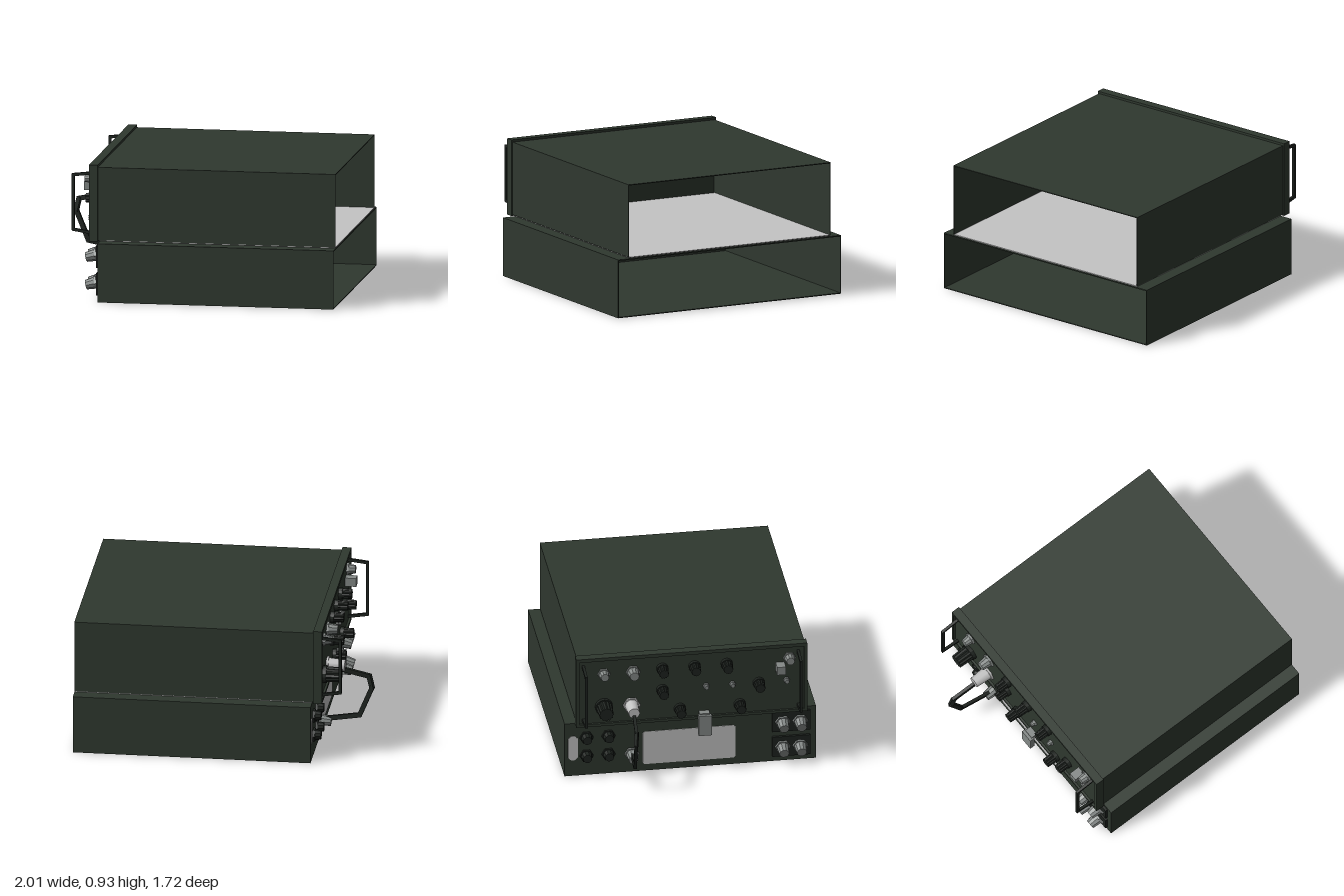
import * as THREE from 'three';

const material = (name, color, opts = {}) => {
  const m = new THREE.MeshStandardMaterial({ color, ...opts });
  m.name = name;
  return m;
};

export function createModel() {
  const root = new THREE.Group();
  root.name = 'stackedRadioUnits';
  const green = material('dark olive paint', 0x2f382f);
  const black = material('black fittings', 0x1e231f, { flatShading: true });
  const grey = material('grey metal', 0x858a88, { flatShading: true });
  const light = material('light plate', 0xc4c4c4);

  const add = (name, geometry, mat, parent = root) => {
    const mesh = new THREE.Mesh(geometry, mat);
    mesh.name = name;
    parent.add(mesh);
    return mesh;
  };
  // Box given by its lower and upper corners
  const box = (name, x0, x1, y0, y1, z0, z1, mat) => {
    const mesh = add(name, new THREE.BoxGeometry(x1 - x0, y1 - y0, z1 - z0), mat);
    mesh.position.set((x0 + x1) / 2, (y0 + y1) / 2, (z0 + z1) / 2);
    return mesh;
  };
  // Group whose own up axis points out of the control panel (-x)
  const mount = (name, x, y, z, tilt = 0) => {
    const g = new THREE.Group();
    g.name = name;
    g.position.set(x, y, z);
    g.rotation.z = Math.PI / 2 + tilt;
    root.add(g);
    return g;
  };
  const stage = (g, name, rTop, rBottom, from, to, sides, mat) => {
    const mesh = add(name, new THREE.CylinderGeometry(rTop, rBottom, to - from, sides), mat, g);
    mesh.position.y = (from + to) / 2;
    return mesh;
  };

  // Lower case, open at +x
  const t = 0.006;
  box('lowerBottom', -0.62, 1, 0, t, -0.86, 0.86, green);
  box('lowerTop', -0.62, 1, 0.395, 0.403, -0.86, 0.86, green);
  box('lowerPanel', -0.62, -0.612, 0, 0.403, -0.86, 0.86, green);
  // Upper case, open at +x, with a light floor
  box('upperTop', -0.63, 1, 0.908, 0.914, -0.78, 0.78, green);
  box('upperFloor', -0.62, 1, 0.407, 0.413, -0.775, 0.775, light);
  for (const s of [-1, 1]) {
    const side = (a, b) => [Math.min(s * a, s * b), Math.max(s * a, s * b)];
    box('lowerSide', -0.62, 1, 0, 0.403, ...side(0.86 - t, 0.86), green);
    box('upperSide', -0.63, 1, 0.413, 0.914, ...side(0.78 - t, 0.78), green);
  }
  // Upper control panel with a raised rim
  box('upperPanel', -0.675, -0.63, 0.405, 0.93, -0.79, 0.79, green);
  box('rimTop', -0.69, -0.675, 0.905, 0.93, -0.79, 0.79, green);
  box('rimBottom', -0.69, -0.675, 0.405, 0.425, -0.79, 0.79, green);
  box('rimEnd', -0.69, -0.675, 0.425, 0.905, -0.79, -0.77, green);
  box('rimEnd', -0.69, -0.675, 0.425, 0.905, 0.77, 0.79, green);

  // Rounded light plates lying in the panels
  const plate = (name, x, y0, y1, z0, z1, r, thick) => {
    const w = (z1 - z0) / 2, h = (y1 - y0) / 2;
    const s = new THREE.Shape();
    s.moveTo(-w + r, -h).lineTo(w - r, -h).lineTo(w, -h + r).lineTo(w, h - r);
    s.lineTo(w - r, h).lineTo(-w + r, h).lineTo(-w, h - r).lineTo(-w, -h + r).closePath();
    const g = new THREE.ExtrudeGeometry(s, { depth: thick, bevelEnabled: false });
    g.translate(0, 0, -thick / 2).rotateY(-Math.PI / 2);
    add(name, g, light).position.set(x, (y0 + y1) / 2, (z0 + z1) / 2);
  };
  for (const x of [-0.621, -0.611]) {
    plate('dataPlate', x, 0.05, 0.3, -0.325, 0.31, 0.012, 0.004);
    plate('sidePlate', x, 0.12, 0.305, -0.835, -0.77, 0.02, 0.004);
  }
  plate('innerPlate', -0.629, 0.59, 0.795, -0.755, -0.68, 0.03, 0.004);

  // Fluted control knobs
  const knob = (y, z, r = 0.037, length = 0.09) => {
    const g = mount('controlKnob', -0.675, y, z);
    stage(g, 'knobSkirt', r * 1.1, r * 1.1, 0, 0.025, 16, black);
    const grip = new THREE.CylinderGeometry(r * 0.9, r, length - 0.02, 24);
    const p = grip.attributes.position;
    for (let i = 0; i < p.count; i++) {
      const a = Math.atan2(p.getX(i), p.getZ(i));
      const k = Math.round(a / (Math.PI / 12)) % 2 ? 0.86 : 1;
      p.setX(i, p.getX(i) * k);
      p.setZ(i, p.getZ(i) * k);
    }
    add('knobGrip', grip, black, g).position.y = 0.02 + (length - 0.02) / 2;
  };
  for (const [y, z] of [[0.81, 0.24], [0.81, 0.02], [0.81, -0.2], [0.645, 0.46],
    [0.645, -0.2], [0.49, 0.33], [0.49, -0.08]]) knob(y, z);
  knob(0.55, -0.6, 0.055, 0.125);

  // Grey sockets and switches on the upper panel
  const socket = (name, x, y, z, r, length, mat, tilt = 0) => {
    const g = mount(name, x, y, z, tilt);
    stage(g, 'socketFlange', r * 1.25, r * 1.25, 0, 0.015, 6, mat);
    stage(g, 'socketBody', r * 0.8, r, 0.015, length, 10, mat);
  };
  box('squareSocket', -0.75, -0.675, 0.73, 0.79, 0.575, 0.635, grey);
  socket('roundSocket', -0.675, 0.82, 0.67, 0.035, 0.06, grey);
  socket('roundSocket', -0.675, 0.8, -0.4, 0.04, 0.075, grey);
  socket('roundSocket', -0.675, 0.8, -0.6, 0.035, 0.06, grey);
  socket('cableSocket', -0.675, 0.545, -0.41, 0.048, 0.125, light);
  for (const [y, z] of [[0.65, 0.1], [0.65, 0.65], [0.65, 0.28]])
    socket('indicator', -0.675, y, z, 0.018, 0.035, grey);
  box('hangingBracket', -0.74, -0.705, 0.3, 0.45, 0.04, 0.13, grey);
  box('bracketArm', -0.72, -0.675, 0.43, 0.46, 0.05, 0.12, grey);

  // Terminals on the lower panel
  for (const y of [0.04, 0.23]) {
    box('terminalBase', -0.637, -0.62, y, y + 0.15, 0.56, 0.82, black);
    for (const z of [0.63, 0.75])
      socket('terminal', -0.637, y + 0.08, z, 0.042, 0.08, grey, 0.25);
  }
  for (const y of [0.15, 0.29]) {
    for (const z of [-0.71, -0.56]) socket('lowerConnector', -0.62, y, z, 0.038, 0.055, black);
  }
  socket('cableOutlet', -0.62, 0.14, -0.4, 0.04, 0.085, grey, 0.1);

  // Straight bars joining successive points
  const bars = (name, points, width, depth) => {
    const g = new THREE.Group();
    g.name = name;
    root.add(g);
    const v = points.map(p => new THREE.Vector3(...p));
    for (let i = 1; i < v.length; i++) {
      const d = v[i].clone().sub(v[i - 1]);
      const bar = add('bar', new THREE.BoxGeometry(width, d.length() + width * 0.6, depth), black, g);
      bar.position.copy(v[i]).add(v[i - 1]).multiplyScalar(0.5);
      bar.quaternion.setFromUnitVectors(new THREE.Vector3(0, 1, 0), d.normalize());
    }
  };
  bars('cableLoop', [[-0.72, 0.53, -0.405], [-0.965, 0.48, -0.42], [-0.985, 0.4, -0.425],
    [-0.9, 0.195, -0.42], [-0.66, 0.15, -0.4]], 0.032, 0.022);
  for (const z of [-0.74, 0.73])
    bars('carryHandle', [[-0.68, 0.865, z], [-0.808, 0.85, z], [-0.808, 0.475, z], [-0.68, 0.455, z]],
      0.02, 0.018);

  return root;
}
